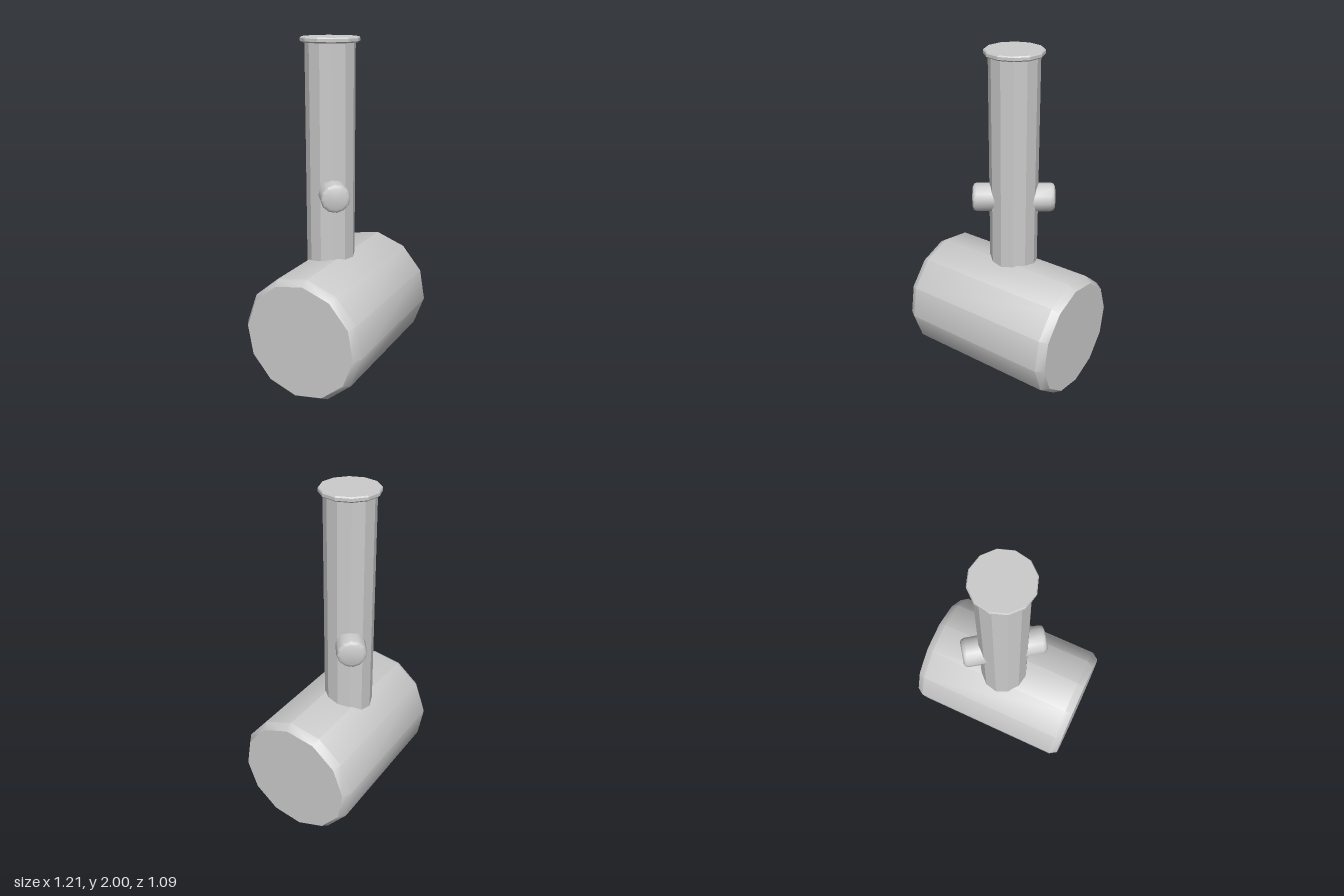
import * as THREE from 'three';
import { toCreasedNormals } from 'three/addons/utils/BufferGeometryUtils.js';

const rad = THREE.MathUtils.degToRad;

// Twelve-sided turned part; profile is [radius, height] from bottom to top.
function turned(name, profile, startDeg, creaseDeg) {
  const pts = profile.map(([r, y]) => new THREE.Vector2(r, y));
  const lathe = new THREE.LatheGeometry(pts, 12, rad(startDeg));
  const mesh = new THREE.Mesh(
    toCreasedNormals(lathe, rad(creaseDeg)),
    new THREE.MeshStandardMaterial({ color: 0xcccccc })
  );
  mesh.name = name;
  return mesh;
}

// Lay a turned part down so its axis points along (dx, dz) in the ground plane.
function layAlong(mesh, dx, dz) {
  const axis = new THREE.Vector3(dx, 0, dz).normalize();
  const up = new THREE.Vector3(0, 1, 0);
  const side = axis.clone().cross(up);
  mesh.quaternion.setFromRotationMatrix(new THREE.Matrix4().makeBasis(side, axis, up));
  return mesh;
}

export function createModel() {
  const model = new THREE.Group();
  model.name = 'mallet';

  // Heavy barrel head with bevelled rims
  const head = turned('head', [
    [0, -0.502], [0.34, -0.502], [0.37, -0.457],
    [0.37, 0.457], [0.34, 0.502], [0, 0.502],
  ], 5, 42);
  head.position.y = 0.37;
  model.add(layAlong(head, 0.867, -0.498));

  // Faceted handle, sunk into the head
  const stem = new THREE.Group();
  stem.name = 'handleAssembly';
  stem.position.set(-0.034, 0, -0.057);
  model.add(stem);
  stem.add(turned('handle', [[0, 0.55], [0.143, 0.55], [0.143, 1.98], [0, 1.98]], 4, 15));

  // Thin flange closing the top of the handle
  stem.add(turned('endCap', [
    [0, 1.97], [0.16, 1.97], [0.168, 1.977], [0.168, 1.993], [0.163, 2], [0, 2],
  ], 4, 15));

  // Two opposite pegs with rounded ends
  for (const [name, s] of [['frontPeg', 1], ['backPeg', -1]]) {
    const peg = turned(name, [
      [0, 0.08], [0.085, 0.08], [0.085, 0.215], [0.079, 0.233], [0.062, 0.241], [0, 0.241],
    ], 5, 48);
    peg.position.y = 1.13;
    stem.add(layAlong(peg, -0.417 * s, 0.909 * s));
  }
  return model;
}
